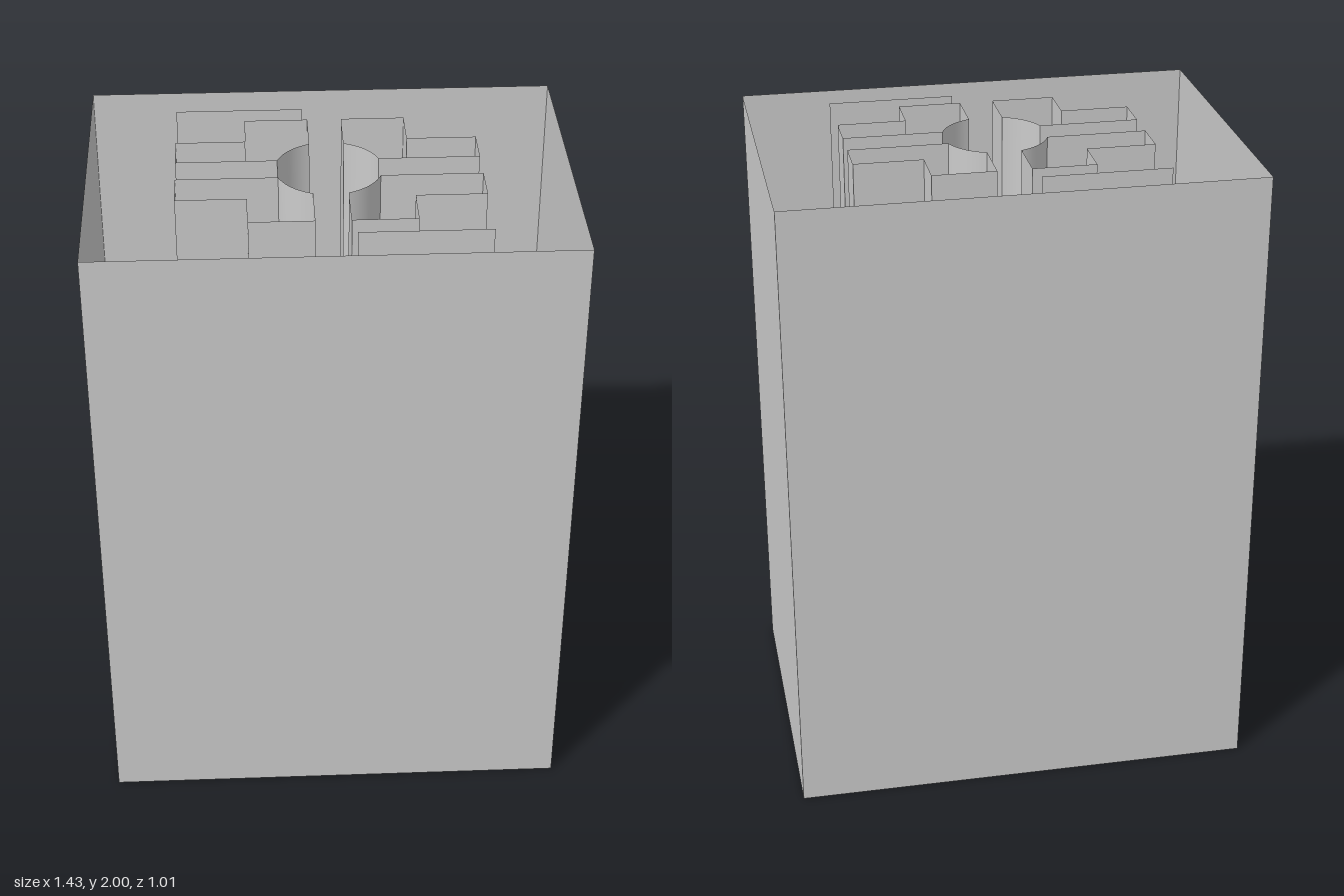
import * as THREE from 'three';
import { toCreasedNormals } from 'three/addons/utils/BufferGeometryUtils.js';

const HEIGHT = 2;
const material = new THREE.MeshStandardMaterial({ color: 0xcccccc, side: THREE.DoubleSide });

// Upright, uncapped sheet that follows a path of [x, z] points
function wall(name, path, closed) {
  const pos = [];
  const count = closed ? path.length : path.length - 1;
  for (let i = 0; i < count; i++) {
    const [ax, az] = path[i];
    const [bx, bz] = path[(i + 1) % path.length];
    pos.push(ax, 0, az, bx, 0, bz, bx, HEIGHT, bz);
    pos.push(ax, 0, az, bx, HEIGHT, bz, ax, HEIGHT, az);
  }
  const geo = new THREE.BufferGeometry();
  geo.setAttribute('position', new THREE.Float32BufferAttribute(pos, 3));
  geo.computeVertexNormals();
  const mesh = new THREE.Mesh(toCreasedNormals(geo, 0.5), material);
  mesh.name = name;
  return mesh;
}

// One quadrant of the stepped core: two arms around a round central bore
function quadrant(sx, sz) {
  const bore = 0.16, slot = 0.052;
  const start = Math.asin(slot / bore), end = Math.PI / 2 - start;
  const path = [[0.455, slot], [0.455, 0.175], [0.245, 0.175], [0.245, 0.31], [slot, 0.31]];
  const steps = 10;
  for (let i = 0; i <= steps; i++) {
    const a = end + (start - end) * i / steps;
    path.push([bore * Math.cos(a), bore * Math.sin(a)]);
  }
  const points = path.map(([x, z]) => [x * sx, z * sz]);
  if (sx * sz > 0) points.reverse(); // keep the walls facing outward
  return points;
}

export function createModel() {
  const model = new THREE.Group();

  // Open rectangular casing
  const w = 0.717, d = 0.507;
  model.add(wall('casing', [[-w, d], [w, d], [w, -d], [-w, -d]], true));

  // Four mirrored core pieces
  const core = new THREE.Group();
  core.name = 'core';
  for (const sx of [-1, 1])
    for (const sz of [-1, 1])
      core.add(wall('coreQuadrant', quadrant(sx, sz), true));
  model.add(core);

  // Two thin partitions, one on each side of the core
  for (const s of [-1, 1])
    model.add(wall(s > 0 ? 'frontPartition' : 'backPartition',
      [[s * 0.065, s * 0.38], [s * 0.455, s * 0.38]], false));

  return model;
}
